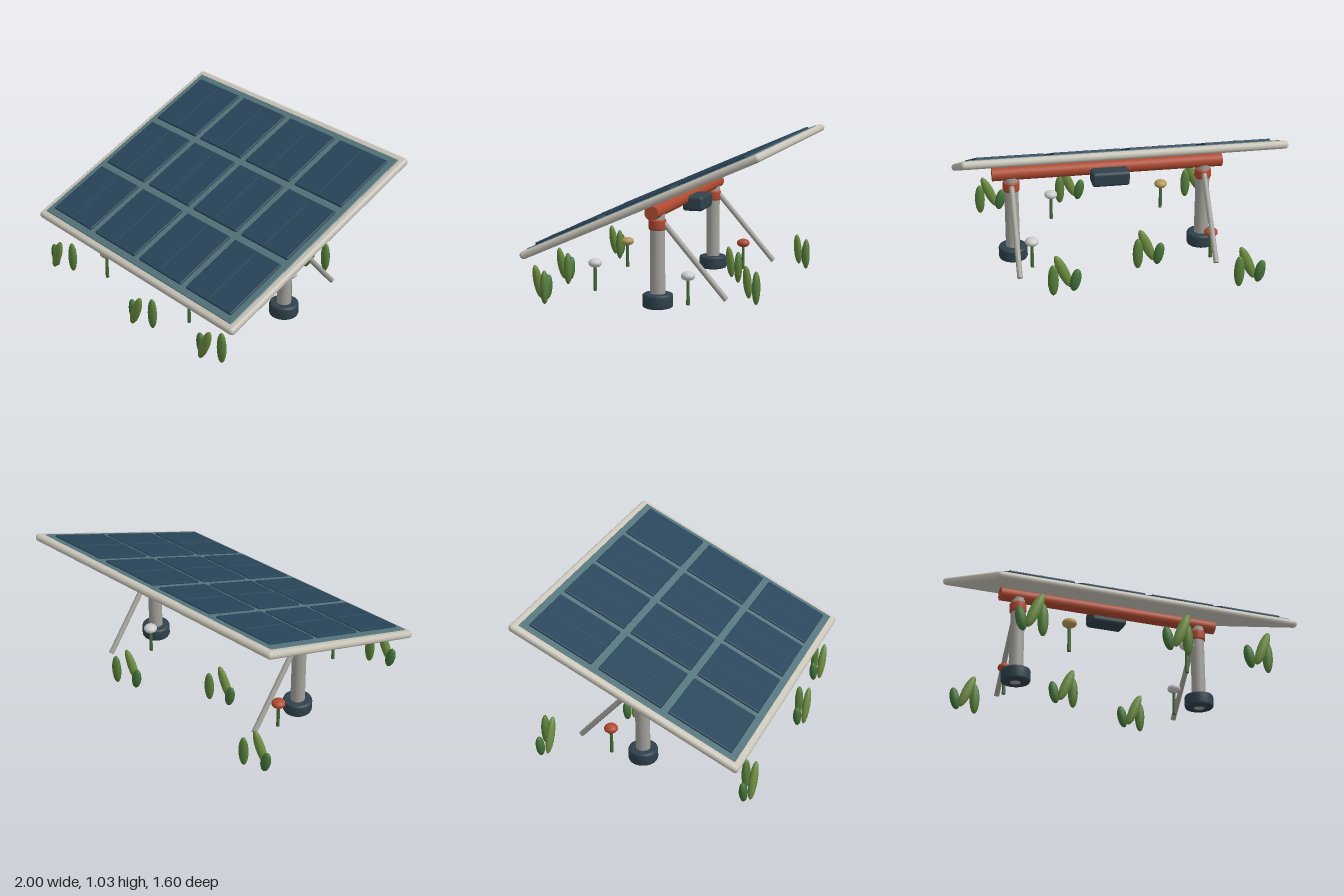
import * as THREE from 'three';
import { RoundedBoxGeometry } from 'three/addons/geometries/RoundedBoxGeometry.js';

const material = (color) => new THREE.MeshStandardMaterial({ color });
const mats = {
  frame: material(0xc8c4b8), post: material(0xa3a29c), teal: material(0x54747c),
  cell: material(0x29455a), line: material(0x36515f), dark: material(0x2f414c),
  red: material(0xb04a30), stem: material(0x4a6b3c), white: material(0xd0d0d0), gold: material(0xb59a5a),
  leafDark: material(0x44733a), leafLight: material(0x6b8c40), leafMid: material(0x587f3a),
};

function add(parent, name, geometry, mat, x = 0, y = 0, z = 0) {
  const mesh = new THREE.Mesh(geometry, mat);
  mesh.name = name;
  mesh.position.set(x, y, z);
  parent.add(mesh);
  return mesh;
}

function group(parent, name, x = 0, y = 0, z = 0) {
  const g = new THREE.Group();
  g.name = name;
  g.position.set(x, y, z);
  parent.add(g);
  return g;
}

// Solid ring with bevelled rims, r outside, closed by whatever passes through it
function ring(inner, r, h, bevel) {
  const pts = [[inner, 0], [r - bevel, 0], [r - bevel * 0.3, bevel * 0.3], [r, bevel],
    [r, h - bevel], [r - bevel * 0.3, h - bevel * 0.3], [r - bevel, h], [inner, h]];
  return new THREE.LatheGeometry(pts.map(([a, b]) => new THREE.Vector2(a, b)), 28);
}

// Tilted panel: framed slab, backing sheet and a 4 x 3 array of cells
function buildPanel(root) {
  const panel = group(root, 'panel', 0, 0.675, -0.053);
  panel.rotation.x = THREE.MathUtils.degToRad(23.9);
  add(panel, 'frame', new RoundedBoxGeometry(2, 0.05, 1.653, 4, 0.024), mats.frame);
  add(panel, 'backingSheet', new RoundedBoxGeometry(1.914, 0.03, 1.56, 2, 0.006), mats.teal, 0, 0.015, 0);
  const cell = new RoundedBoxGeometry(0.418, 0.024, 0.457, 2, 0.008);
  const line = new THREE.BoxGeometry(0.008, 0.006, 0.41);
  for (let i = 0; i < 4; i++) {
    for (let j = 0; j < 3; j++) {
      const x = (i - 1.5) * 0.467, z = (j - 1) * 0.505;
      add(panel, 'cell', cell, mats.cell, x, 0.031, z);
      add(panel, 'cellLine', line, mats.line, x, 0.042, z);
    }
  }
}

// Post with foot, collar and diagonal brace
function buildSupport(root, x) {
  const s = group(root, 'support', x, 0, -0.08);
  add(s, 'foot', ring(0.035, 0.097, 0.09, 0.015), mats.dark);
  add(s, 'post', new THREE.CylinderGeometry(0.046, 0.048, 0.588, 28), mats.post, 0, 0.298, 0);
  add(s, 'collar', ring(0.04, 0.056, 0.07, 0.012), mats.red, 0, 0.492, 0);
  const from = new THREE.Vector3(0, 0.545, -0.035), to = new THREE.Vector3(0, 0.075, -0.445);
  const dir = to.clone().sub(from);
  const brace = add(s, 'brace', new THREE.CylinderGeometry(0.018, 0.018, dir.length(), 16), mats.post);
  brace.position.copy(from).add(to).multiplyScalar(0.5);
  brace.quaternion.setFromUnitVectors(new THREE.Vector3(0, 1, 0), dir.normalize());
}

// Clump of three leaves: short, tall leaning, and upright
function buildClump(root, x, z) {
  const clump = group(root, 'leafClump', x, 0, z);
  const ball = new THREE.SphereGeometry(1, 12, 10);
  const leaves = [
    [-0.075, 0.087, 0.003, 0.079, 0.2, mats.leafDark],
    [0, 0.135, 0.04, 0.125, -0.4, mats.leafLight],
    [0.073, 0.117, -0.035, 0.108, 0, mats.leafMid],
  ];
  for (const [lx, ly, lz, half, tilt, mat] of leaves) {
    const leaf = add(clump, 'leaf', ball, mat, lx, ly, lz);
    leaf.scale.set(0.035, half, 0.027);
    leaf.rotation.z = tilt;
  }
}

// Small flower with a flattened round head
function buildFlower(root, x, z, mat) {
  const flower = group(root, 'flower', x, 0, z);
  add(flower, 'stem', new THREE.CylinderGeometry(0.01, 0.012, 0.18, 10), mats.stem, 0, 0.09, 0);
  add(flower, 'flowerHead', new THREE.SphereGeometry(0.046, 18, 12), mat, 0, 0.187, 0).scale.y = 0.65;
}

export function createModel() {
  const root = new THREE.Group();
  root.name = 'solarPanel';
  buildPanel(root);
  for (const side of [-1, 1]) buildSupport(root, side * 0.645);

  // Pivot tube and drive motor
  const tube = add(root, 'pivotTube', new THREE.CylinderGeometry(0.045, 0.045, 1.54, 28), mats.red, 0, 0.615, -0.08);
  tube.rotation.z = Math.PI / 2;
  add(root, 'motor', new RoundedBoxGeometry(0.25, 0.1, 0.14, 3, 0.022), mats.dark, 0, 0.58, -0.15);

  const clumps = [[0.74, 0.65], [0.155, 0.725], [-0.77, 0.685], [0.375, -0.63], [-0.22, -0.36], [-0.815, -0.705]];
  for (const [x, z] of clumps) buildClump(root, x, z);

  buildFlower(root, -0.485, 0.515, mats.gold);
  buildFlower(root, 0.32, 0.46, mats.white);
  buildFlower(root, 0.535, -0.245, mats.white);
  buildFlower(root, -0.66, -0.3, mats.red);
  return root;
}
